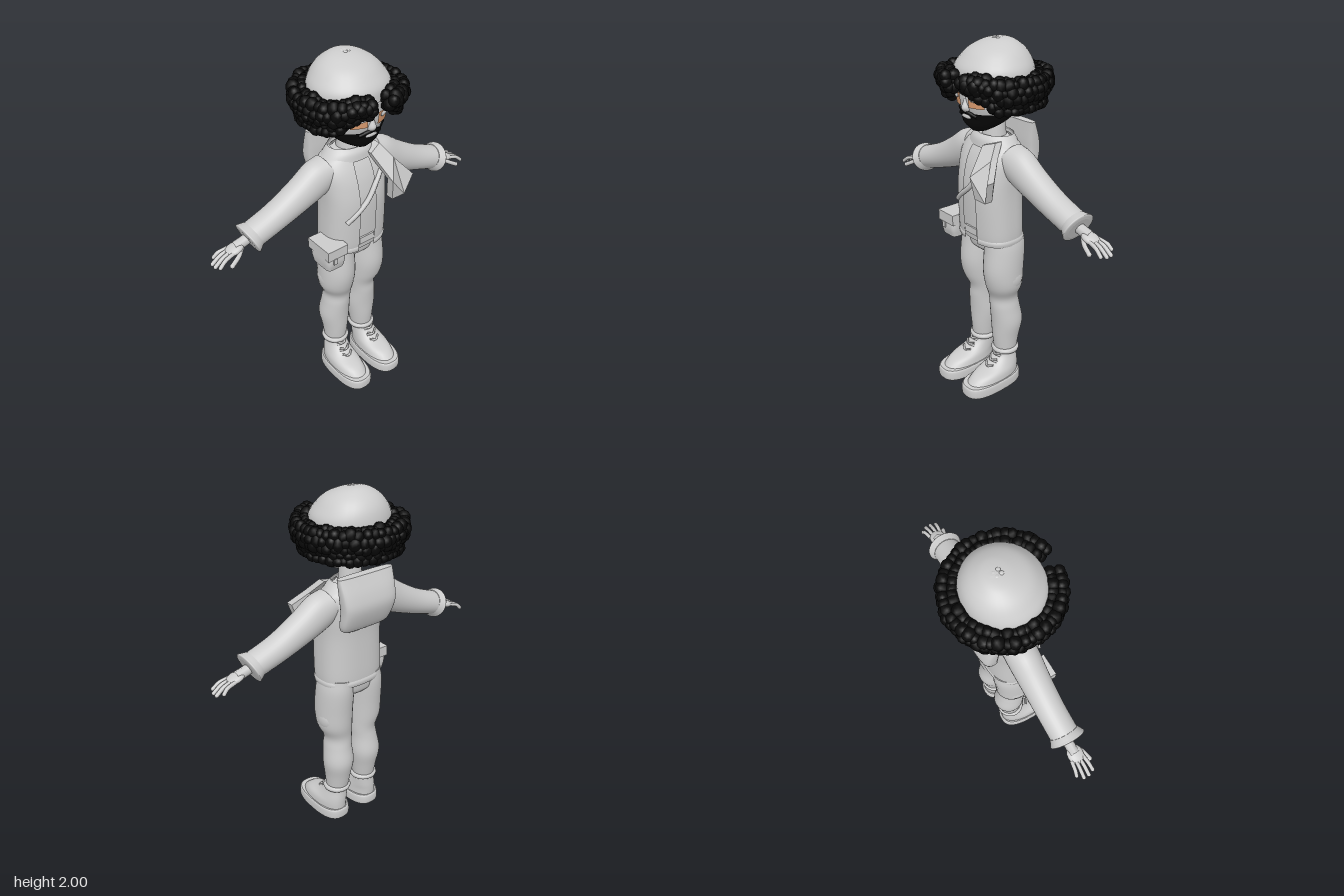
import * as THREE from 'three';
import { mergeGeometries } from 'three/addons/utils/BufferGeometryUtils.js';

const mat = (name, color, side = THREE.DoubleSide) => {
  const m = new THREE.MeshStandardMaterial({ color, side });
  m.name = name;
  return m;
};

// Smooth skin over elliptical rings [y, cx, cz, rx, rz]; p < 1 makes them boxier, arc leaves an opening.
function loft(rings, { p = 1, arc = null, seg = 32, steps = 5, caps = true } = {}) {
  const mid = new THREE.CatmullRomCurve3(rings.map(r => new THREE.Vector3(r[1], r[0], r[2])), false, 'catmullrom', 0.5);
  const rad = new THREE.CatmullRomCurve3(rings.map(r => new THREE.Vector3(r[3], r[4], 0)), false, 'catmullrom', 0.5);
  const [a0, a1] = arc || [0, Math.PI * 2];
  const n = arc ? seg + 1 : seg, rows = (rings.length - 1) * steps;
  const pos = [], idx = [];
  const pw = v => Math.sign(v) * Math.abs(v) ** p;
  for (let i = 0; i <= rows; i++) {
    const c = mid.getPoint(i / rows), r = rad.getPoint(i / rows);
    for (let j = 0; j < n; j++) {
      const a = a0 + (a1 - a0) * j / seg;
      pos.push(c.x + r.x * pw(Math.cos(a)), c.y, c.z + r.y * pw(Math.sin(a)));
    }
  }
  for (let i = 0; i < rows; i++) for (let j = 0; j < seg; j++) {
    const k = (j + 1) % n, a = i * n + j, b = i * n + k;
    idx.push(a, a + n, b, b, a + n, b + n);
  }
  if (caps && !arc) for (const i of [0, rows]) {
    const c = mid.getPoint(i / rows), base = pos.length / 3;
    pos.push(c.x, c.y, c.z, ...pos.slice(i * n * 3, (i + 1) * n * 3));
    for (let j = 0; j < n; j++) {
      const a = base + 1 + j, b = base + 1 + (j + 1) % n;
      idx.push(base, ...(i ? [b, a] : [a, b]));
    }
  }
  const g = new THREE.BufferGeometry();
  g.setAttribute('position', new THREE.Float32BufferAttribute(pos, 3));
  g.setIndex(idx);
  g.computeVertexNormals();
  return g;
}

const tube = (pts, r, seg = 12) =>
  new THREE.TubeGeometry(new THREE.CatmullRomCurve3(pts.map(q => new THREE.Vector3(...q))), seg, r, 8);
const ball = (x, y, z, sx, sy, sz) => new THREE.SphereGeometry(1, 16, 12).scale(sx, sy, sz).translate(x, y, z);
const box = (x, y, z, w, h, d) => new THREE.BoxGeometry(w, h, d).translate(x, y, z);

export function createModel() {
  const model = new THREE.Group();
  const grey = mat('light grey', 0xcccccc);
  const black = mat('black hair', 0x070707);
  const tan = mat('eye tan', 0xdf9f72);
  const add = (name, geo, m = grey) => {
    const mesh = new THREE.Mesh(geo, m);
    mesh.name = name;
    model.add(mesh);
    return mesh;
  };

  // Head, cap and neck
  const face = [[1.545, 0, .09, .035, .04], [1.58, 0, .075, .095, .085], [1.62, 0, .045, .14, .12],
    [1.68, 0, .02, .17, .165], [1.75, 0, .01, .19, .182], [1.85, 0, 0, .205, .195]];
  add('head', loft(face));
  add('cap', loft([[1.8, 0, 0, .215, .203], [1.86, 0, 0, .21, .2], [1.91, 0, -.01, .18, .175],
    [1.95, 0, -.018, .143, .138], [1.98, 0, -.032, .093, .085], [1.993, 0, -.043, .05, .045], [1.998, 0, -.05, .005, .005]]));
  for (let i = 0; i < 4; i++) {
    const a = i * Math.PI / 2 + .6;
    add('capKnot', ball(.016 * Math.cos(a), 1.99, -.025 + .018 * Math.sin(a), .012, .009, .013));
  }
  add('neck', new THREE.CylinderGeometry(.055, .068, .15, 24).translate(0, 1.54, 0));
  add('nose', loft([[1.655, 0, .175, .02, .022], [1.675, 0, .182, .022, .026], [1.71, 0, .18, .012, .016], [1.75, 0, .18, .008, .008]]));

  // Beard wraps the jaw, with the mouth left clear
  const grow = (r, d) => [r[0], r[1], r[2], r[3] + d, r[4] + d];
  add('beard', loft([...face.slice(0, 3).map(r => grow(r, .008)), [1.65, 0, .032, .165, .152]], { arc: [-.15, Math.PI + .15] }), black);
  add('beardTip', ball(0, 1.552, .09, .044, .014, .045), black);
  add('mouth', ball(0, 1.627, .181, .038, .011, .006));
  add('moustache', tube([[-.065, 1.632, .165], [0, 1.652, .186], [.065, 1.632, .165]], .01), black);

  // Eyes: curved patches on the face
  for (const s of [1, -1]) {
    const mid = Math.PI / 2 - s * .42;
    add('eyePatch', loft([[1.68, 0, .02, .178, .173], [1.745, 0, .011, .196, .189]],
      { arc: [mid - .25, mid + .25], seg: 10, steps: 2 }), tan);
    const eye = add('eye', ball(0, 0, 0, .03, .012, .006));
    eye.position.set(s * .072, 1.725, .186);
    eye.rotation.y = s * .4;
  }

  // Curly hair: seeded tufts around the cap with a parting at the front
  let seed = 7;
  const rnd = () => (seed = (seed * 16807) % 2147483647) / 2147483647;
  const tufts = [];
  const N = 46, ROWS = 5;
  for (let i = 0; i < N; i++) for (let j = 0; j < ROWS; j++) for (let k = 0; k < 2; k++) {
    const a = (i + .5 * (j % 2) + rnd() * .4) / N * Math.PI * 2, t = j / (ROWS - 1);
    const front = THREE.MathUtils.smoothstep(Math.cos(a), .55, .95);
    const low = 1.69 + .085 * front, high = 1.835 - .015 * (1 - front);
    const out = (k ? .225 : .248 + .03 * Math.sin(Math.PI * Math.min(1, 1.25 - t))) - .004 * front;
    const r = .026 + .01 * rnd();
    const x = out * Math.sin(a), z = out * Math.cos(a);
    if (z > 0 && Math.abs(x) < .05) continue;
    const g = new THREE.IcosahedronGeometry(r, 1);
    g.rotateX(rnd() * 6).rotateY(rnd() * 6).scale(1, .8 + .4 * rnd(), 1);
    g.translate(x, low + (high - low) * t + .01 * (rnd() - .5), z);
    tufts.push(g);
  }
  add('hair', mergeGeometries(tufts), black);

  // Shirt, open jacket, hips and collar
  const torso = [[.925, 0, .022, .187, .137], [1.0, 0, .025, .19, .142], [1.2, 0, .03, .185, .144],
    [1.32, 0, .02, .19, .138], [1.4, 0, .01, .192, .122], [1.46, 0, 0, .165, .1], [1.5, 0, 0, .095, .075]];
  add('shirt', loft(torso.map(r => grow(r, -.012)), { p: .8 }));
  add('jacket', loft(torso, { p: .8, arc: [Math.PI / 2 + .2, Math.PI * 2.5 - .2], seg: 48 }));
  add('jacketHem', loft([[.92, 0, .022, .19, .14], [.94, 0, .022, .194, .144], [.955, 0, .022, .188, .138]],
    { p: .8, arc: [Math.PI / 2 + .2, Math.PI * 2.5 - .2], seg: 48, steps: 2 }));
  add('belt', box(0, .985, .155, .1, .04, .018));
  add('hips', loft([[.85, 0, .008, .09, .09], [.88, 0, .01, .17, .112], [.96, 0, .01, .182, .122]], { p: .85 }));
  add('collar', loft([[1.45, 0, 0, .175, .108], [1.49, 0, 0, .14, .1], [1.515, 0, -.005, .115, .085]], { caps: false }));

  // Cloth bag hanging behind the shoulders
  add('backBag', loft([[1.265, .01, -.112, .1, .012], [1.3, .01, -.13, .15, .035], [1.4, 0, -.15, .165, .05],
    [1.48, 0, -.142, .17, .046], [1.575, 0, -.122, .175, .024]], { p: .55 }));

  // Scarf end, thrown over the left of the chest, and the shoulder strap
  const outline = [[.053, 1.475], [.127, 1.5], [.17, 1.43], [.237, 1.345], [.2, 1.225], [.115, 1.225], [.1, 1.345]];
  const scarf = new THREE.ExtrudeGeometry(new THREE.Shape(outline.map(q => new THREE.Vector2(...q))), { depth: .045, bevelEnabled: false });
  const sp = scarf.attributes.position;
  for (let i = 0; i < sp.count; i++) {
    const y = sp.getY(i);
    sp.setZ(i, sp.getZ(i) + (y > 1.345 ? .2 - (y - 1.345) * .95 : .2 - (1.345 - y) * .15));
  }
  scarf.computeVertexNormals();
  add('scarfEnd', scarf);
  add('strap', tube([[.12, 1.38, .13], [.06, 1.32, .158], [0, 1.24, .17], [-.07, 1.18, .168], [-.125, 1.13, .15]], .014));

  // Hip pouch on the right side
  add('pouch', loft([[.88, -.207, .09, .055, .075], [.93, -.207, .09, .062, .085], [1.0, -.207, .09, .062, .08]], { p: .35 }));
  add('pouchFlap', box(-.207, .99, .09, .13, .06, .18));
  add('pouchClasp', box(-.225, .945, .178, .025, .035, .01));

  for (const s of [1, -1]) {
    // Trouser leg with its turned-up cuff
    const leg = [[.2, .1, 0, .062, .065], [.3, .098, -.005, .075, .08], [.4, .098, -.012, .089, .092], [.5, .094, 0, .081, .088],
      [.57, .088, .005, .08, .086], [.65, .102, .015, .098, .108], [.75, .103, .02, .102, .12], [.88, .1, .01, .099, .121],
      [.96, .093, .01, .09, .118]];
    add('leg', loft(leg.map(([y, x, ...r]) => [y, s * x, ...r])));
    add('trouserCuff', new THREE.TorusGeometry(.064, .017, 10, 28).rotateX(Math.PI / 2).translate(s * .1, .212, 0));
    add('sidePocket', ball(s * .17, .7, .01, .037, .07, .065));

    // Boot: sole, welt, upper and laces
    const bx = s * .112;
    add('sole', loft([[0, bx, .118, .09, .184], [.012, bx, .118, .097, .192], [.055, bx, .118, .096, .191], [.066, bx, .118, .09, .183]],
      { p: .75, steps: 3 }));
    add('bootUpper', loft([[.06, bx, .11, .085, .173], [.1, bx, .083, .08, .148], [.135, s * .108, .035, .07, .1],
      [.18, s * .102, .008, .06, .07], [.22, s * .1, .003, .056, .064]], { p: .9 }));
    for (let i = 0; i < 3; i++) {
      const y = .135 + i * .03, z = .137 - i * .028;
      for (const d of [1, -1])
        add('lace', tube([[s * .106 - .032, y - d * .01, z - .014], [s * .106, y, z + .004], [s * .106 + .032, y + d * .01, z - .014]], .006, 8));
    }

    // Sleeve and flared cuff run down the arm's own axis
    const arm = new THREE.Group();
    arm.name = 'arm';
    arm.position.set(s * .14, 1.405, 0);
    arm.rotation.z = -s * 1.985;
    model.add(arm);
    const sleeve = [[0, 0, 0, .085, .085], [.08, .002, 0, .1, .085], [.2, .012, 0, .088, .08],
      [.36, .014, 0, .074, .076], [.53, 0, .002, .068, .076]];
    const cuff = [[.5, 0, .002, .069, .077], [.525, 0, .004, .079, .09], [.54, 0, .004, .083, .095], [.545, 0, .004, .06, .07]];
    for (const [name, rings] of [['sleeve', sleeve], ['sleeveCuff', cuff]]) {
      const m = new THREE.Mesh(loft(rings.map(([y, x, ...r]) => [y, s * x, ...r])), grey);
      m.name = name;
      arm.add(m);
    }

    // Hand with four fingers and a thumb
    add('wrist', tube([[s * .61, 1.195, 0], [s * .66, 1.18, 0], [s * .71, 1.168, 0]], .028));
    const palm = add('palm', ball(0, 0, 0, .053, .021, .043));
    palm.position.set(s * .715, 1.162, .002);
    palm.rotation.z = -s * .3;
    for (let i = 0; i < 4; i++) {
      const z = -.032 + i * .021, reach = [-.025, 0, 0, -.012][i];
      const tip = [s * (.832 + reach), 1.112 - reach * .5, z * 1.4];
      add('finger', tube([[s * .735, 1.158, z], [s * .785, 1.145, z * 1.25], tip], .0105));
      add('fingertip', ball(...tip, .0105, .0105, .0105));
    }
    const thumb = [s * .765, 1.115, .062];
    add('thumb', tube([[s * .68, 1.165, .018], [s * .715, 1.142, .045], thumb], .0125));
    add('thumbTip', ball(...thumb, .0125, .0125, .0125));
  }
  return model;
}
